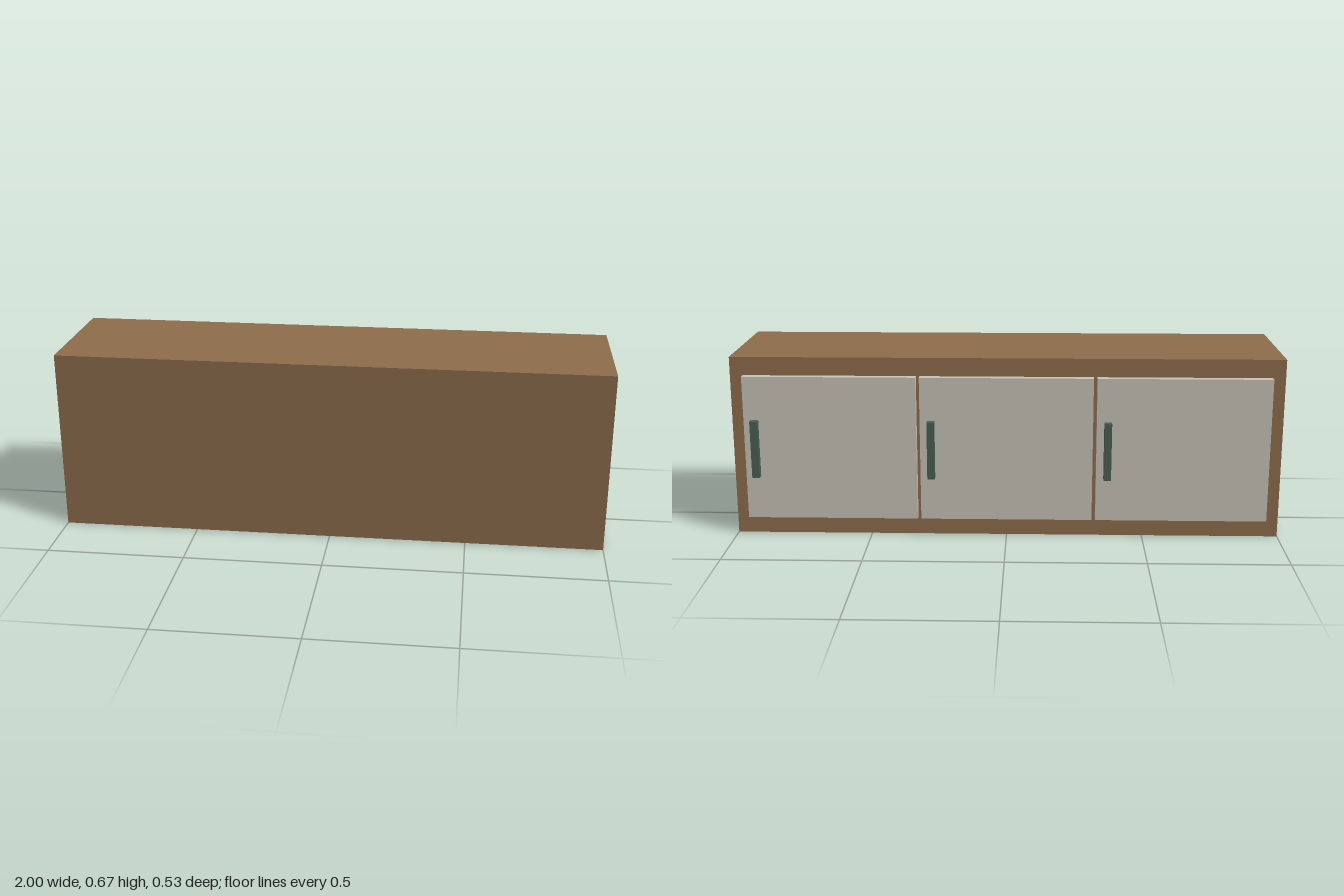
import * as THREE from 'three';

export function createModel() {
  const model = new THREE.Group();
  model.name = 'cabinet';

  const wood = new THREE.MeshStandardMaterial({ color: 0x8f6e4d });
  const panel = new THREE.MeshStandardMaterial({ color: 0xcac5ba });
  const metal = new THREE.MeshStandardMaterial({ color: 0x4b5f55 });

  function addBox(parent, name, size, position, material) {
    const mesh = new THREE.Mesh(new THREE.BoxGeometry(...size), material);
    mesh.name = name;
    mesh.position.set(...position);
    parent.add(mesh);
  }

  // Solid carcass
  addBox(model, 'body', [2, 0.667, 0.48], [0, 0.3335, 0.027], wood);

  // Three doors on the -z face, each with an upright bar handle
  for (let i = -1; i <= 1; i++) {
    const door = new THREE.Group();
    door.name = `door${i + 2}`;
    door.position.set(i * 0.64, 0.3335, 0);
    addBox(door, 'doorPanel', [0.627, 0.533, 0.027], [0, 0, -0.2265], panel);
    addBox(door, 'handle', [0.027, 0.213, 0.027], [0.273, 0, -0.2535], metal);
    model.add(door);
  }

  return model;
}
